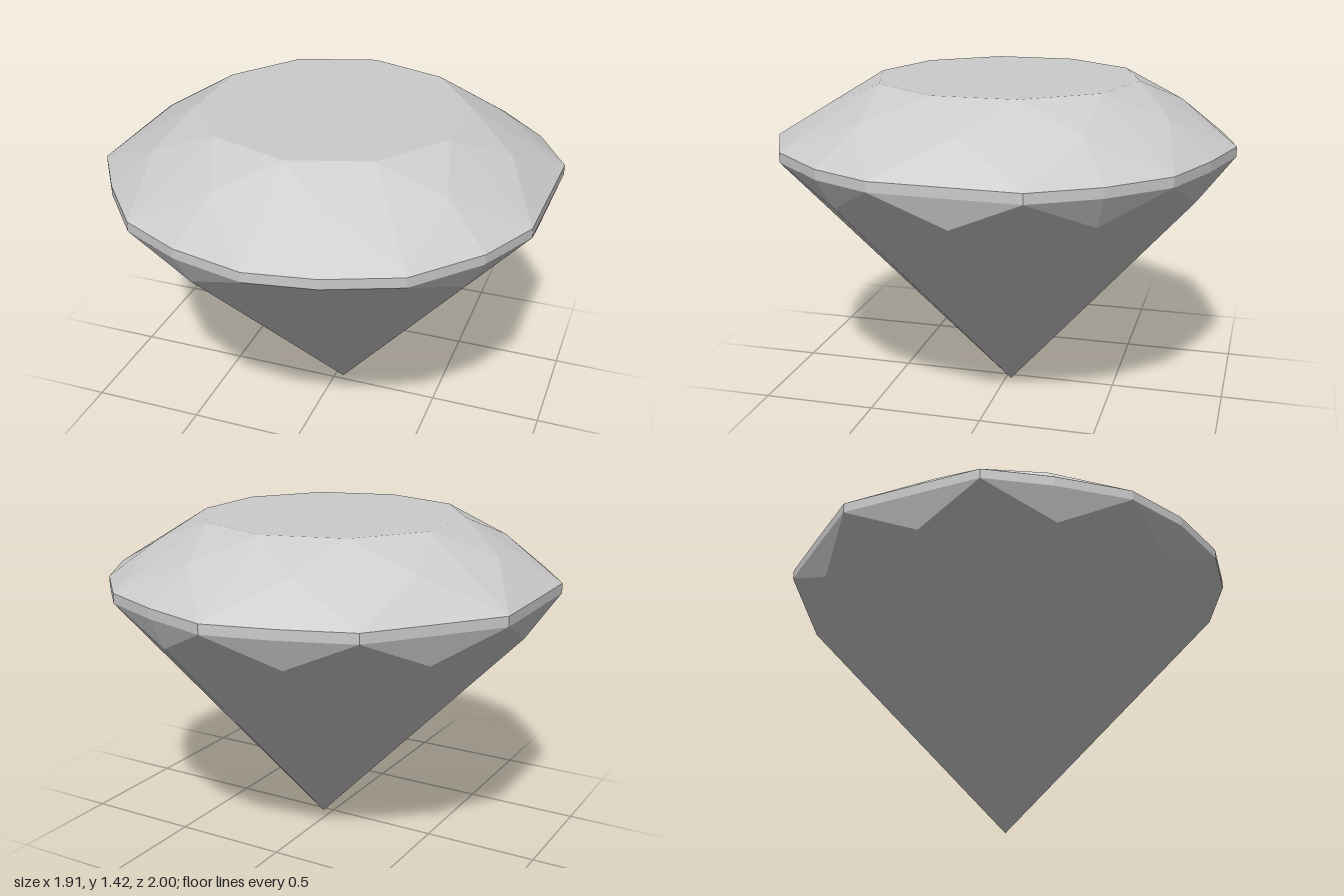
import * as THREE from 'three';

const STEPS = 10;
const CORE = new THREE.Vector3(0, 1.08, 0);

// Slightly irregular hand-cut outline [x, z]; even entries are main corners, odd are midpoints
const OUTLINE = [
  [0, -1], [0.30, -0.915], [0.58, -0.80], [0.80, -0.57], [0.955, -0.30],
  [0.945, 0], [0.935, 0.31], [0.81, 0.57], [0.58, 0.83], [0.29, 0.965],
  [0, 1], [-0.31, 0.93], [-0.575, 0.80], [-0.79, 0.545], [-0.955, 0.295],
  [-0.957, 0], [-0.957, -0.32], [-0.77, -0.565], [-0.58, -0.81], [-0.29, -0.92],
];
const BULGE = 9; // the midpoint where the pavilion runs straight to the rim

const ring = (radius, y, offset) => Array.from({ length: STEPS }, (_, i) => {
  const a = ((i + offset) / STEPS) * Math.PI * 2;
  return new THREE.Vector3(Math.sin(a) * radius, y, -Math.cos(a) * radius);
});

// Adds a convex facet as a fan of triangles, each wound to face outward
function addFacet(out, ...pts) {
  for (let i = 1; i < pts.length - 1; i++) {
    const tri = [pts[0], pts[i], pts[i + 1]];
    const n = new THREE.Vector3().subVectors(tri[1], tri[0])
      .cross(new THREE.Vector3().subVectors(tri[2], tri[0]));
    const mid = tri[0].clone().add(tri[1]).add(tri[2]).divideScalar(3).sub(CORE);
    if (n.dot(mid) < 0) tri.reverse();
    tri.forEach((p) => out.push(p.x, p.y, p.z));
  }
}

function makePart(name, material, build) {
  const out = [];
  build((...pts) => addFacet(out, ...pts));
  const geometry = new THREE.BufferGeometry();
  geometry.setAttribute('position', new THREE.Float32BufferAttribute(out, 3));
  geometry.computeVertexNormals();
  const mesh = new THREE.Mesh(geometry, material);
  mesh.name = name;
  return mesh;
}

export function createModel() {
  const group = new THREE.Group();
  group.name = 'cutGem';
  const material = new THREE.MeshStandardMaterial({ color: 0xcccccc, flatShading: true });

  const rim = (y, rise) => OUTLINE.map(([x, z], i) =>
    new THREE.Vector3(x, y + (i === BULGE ? rise : 0), z));
  const upper = rim(1.163, 0.01);
  const lower = rim(1.12, 0.01);
  const tableRing = ring(0.58, 1.425, 0);
  const crownRing = ring(0.775, 1.315, 0.5);
  const pavilionRing = ring(0.905, 0.985, 0.5);
  const apex = new THREE.Vector3(0.04, 0, -0.025);

  // Flat top
  group.add(makePart('table', material, (facet) => facet(...tableRing)));

  // Star, kite and upper girdle facets
  group.add(makePart('crown', material, (facet) => {
    for (let i = 0; i < STEPS; i++) {
      const j = (i + 1) % STEPS, prev = (i + STEPS - 1) % STEPS;
      const m = crownRing[i];
      facet(tableRing[i], tableRing[j], m);
      facet(tableRing[i], m, upper[2 * i], crownRing[prev]);
      facet(m, upper[2 * i], upper[2 * i + 1]);
      facet(m, upper[2 * i + 1], upper[2 * j]);
    }
  }));

  // Thin upright band
  group.add(makePart('girdle', material, (facet) => {
    for (let i = 0; i < OUTLINE.length; i++) {
      const j = (i + 1) % OUTLINE.length;
      facet(upper[i], upper[j], lower[j], lower[i]);
    }
  }));

  // Lower girdle facets and the long facets down to the point
  group.add(makePart('pavilion', material, (facet) => {
    for (let i = 0; i < STEPS; i++) {
      const a = lower[2 * i], mid = lower[2 * i + 1], b = lower[(2 * i + 2) % OUTLINE.length];
      let p = mid;
      if (2 * i + 1 !== BULGE) {
        p = pavilionRing[i];
        facet(a, mid, p);
        facet(mid, b, p);
      }
      facet(a, p, apex);
      facet(p, b, apex);
    }
  }));

  return group;
}
